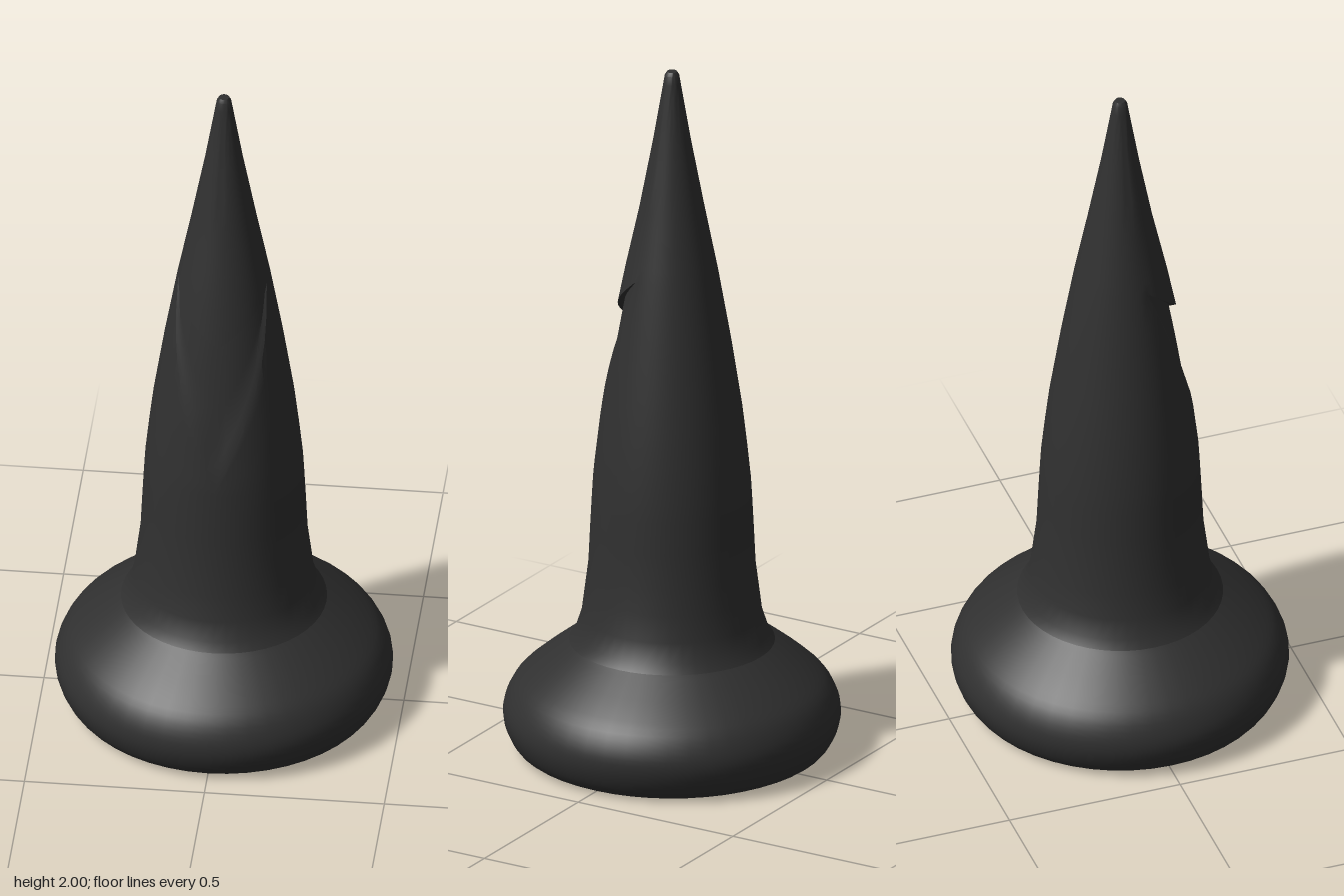
import * as THREE from 'three';
import { toCreasedNormals } from 'three/addons/utils/BufferGeometryUtils.js';

const SIDES = 48;
const NOTCH = 1.25; // half angle of the notch, measured from the front

// Radius of the tapering body at a height
const PROFILE = [[0.32, 0.285], [0.345, 0.268], [0.4, 0.25], [0.55, 0.231], [0.7, 0.224], [0.82, 0.217],
  [1, 0.196], [1.2, 0.165], [1.41, 0.128], [1.6, 0.09], [1.8, 0.052], [1.93, 0.03], [1.99, 0.02], [2, 0.014]];

function radiusAt(y) {
  let i = 1;
  while (i < PROFILE.length - 1 && y > PROFILE[i][0]) i++;
  const [y0, r0] = PROFILE[i - 1], [y1, r1] = PROFILE[i];
  return r0 + (r1 - r0) * (y - y0) / (y1 - y0);
}

// One vertical line of body points; the rows follow the notch edges
function column(angle) {
  const k = Math.min(1, Math.abs(angle) / NOTCH);
  const depth = 1 - k;
  const valley = 0.82 + 0.59 * k;
  const lip = 1.26 + 0.15 * k;
  const points = [];
  const add = (y, offset = 0) => {
    const r = radiusAt(y) + offset;
    points.push(new THREE.Vector3(Math.sin(angle) * r, y, Math.cos(angle) * r));
  };
  for (const y of [0.32, 0.345, 0.4, 0.475, 0.55, 0.65, 0.74]) add(y);
  for (let i = 0; i <= 6; i++) add(0.8 + (valley - 0.8) * i / 6);
  // sunken face below the lip
  for (let i = 1; i <= 6; i++) {
    add(valley + (lip - valley) * i / 6, -0.016 * Math.min(1, i / 2) * Math.sqrt(depth));
  }
  // overhanging lip fading into the point
  const bulge = 0.007 * Math.sqrt(depth);
  for (let i = 0; i <= 5; i++) add(lip + (1.6 - lip) * i / 5, bulge * (1 - i / 5));
  for (const y of [1.7, 1.8, 1.87, 1.93, 1.965, 1.99, 2]) add(y);
  points.push(new THREE.Vector3(0, 2, 0));
  return points;
}

function bodyGeometry() {
  const columns = [];
  for (let i = 0; i < SIDES; i++) columns.push(column((i / SIDES) * Math.PI * 2 - Math.PI));
  const positions = [];
  const face = new THREE.Triangle();
  const addFace = (a, b, c) => {
    face.set(a, b, c);
    if (face.getArea() > 1e-8) for (const p of [a, b, c]) positions.push(p.x, p.y, p.z);
  };
  columns.forEach((left, i) => {
    const right = columns[(i + 1) % SIDES];
    for (let j = 0; j < left.length - 1; j++) {
      addFace(left[j], right[j], right[j + 1]);
      addFace(left[j], right[j + 1], left[j + 1]);
    }
  });
  const geometry = new THREE.BufferGeometry();
  geometry.setAttribute('position', new THREE.Float32BufferAttribute(positions, 3));
  return toCreasedNormals(geometry, 0.5);
}

// Squat rounded foot with a flat underside
function footGeometry() {
  const curve = new THREE.SplineCurve([[0.4, 0], [0.432, 0.018], [0.455, 0.055], [0.467, 0.1], [0.461, 0.145],
    [0.435, 0.195], [0.39, 0.238], [0.335, 0.282], [0.285, 0.32]].map(([r, y]) => new THREE.Vector2(r, y)));
  const points = [new THREE.Vector2(0, 0), ...curve.getPoints(24)];
  return toCreasedNormals(new THREE.LatheGeometry(points, SIDES), 0.5);
}

export function createModel() {
  const charcoal = new THREE.MeshStandardMaterial({ color: 0x303030 });
  charcoal.name = 'charcoal';
  const model = new THREE.Group();
  model.name = 'notchedSpire';
  const parts = { foot: footGeometry(), notchedBody: bodyGeometry() };
  for (const [name, geometry] of Object.entries(parts)) {
    const mesh = new THREE.Mesh(geometry, charcoal);
    mesh.name = name;
    model.add(mesh);
  }
  return model;
}
